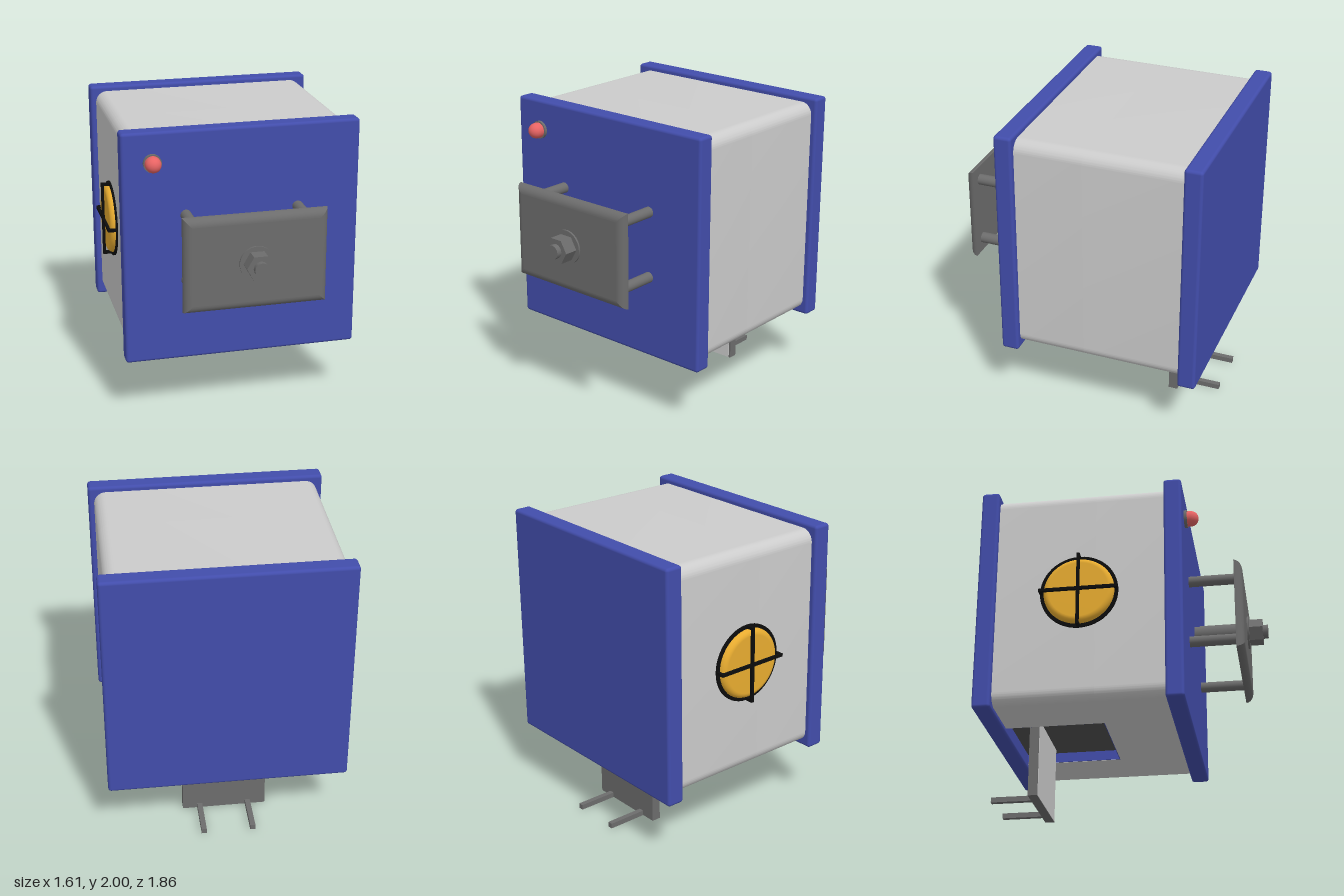
import * as THREE from 'three';
import { toCreasedNormals } from 'three/addons/utils/BufferGeometryUtils.js';
import { RoundedBoxGeometry } from 'three/addons/geometries/RoundedBoxGeometry.js';

const mat = (color) => new THREE.MeshStandardMaterial({ color });
const CX = 0.015; // axis of the housing
const CY = 1.21;

export function createModel() {
  const model = new THREE.Group();
  const grey = mat(0xcccccc), blue = mat(0x424dab), dark = mat(0x6c6c6c);
  const black = mat(0x0c0c0c), yellow = mat(0xe8ac30), red = mat(0xe86464);

  const add = (name, geometry, material, x = 0, y = 0, z = 0, parent = model) => {
    const mesh = new THREE.Mesh(geometry, material);
    mesh.name = name;
    mesh.position.set(x, y, z);
    parent.add(mesh);
    return mesh;
  };
  // Box given by its limits
  const block = (name, material, x0, x1, y0, y1, z0, z1) =>
    add(name, new THREE.BoxGeometry(x1 - x0, y1 - y0, z1 - z0), material,
      (x0 + x1) / 2, (y0 + y1) / 2, (z0 + z1) / 2);
  // Cylinder along z between two depths
  const rod = (name, material, r, x, y, z0, z1, sides = 32) =>
    add(name, new THREE.CylinderGeometry(r, r, z1 - z0, sides).rotateX(Math.PI / 2),
      material, x, y, (z0 + z1) / 2);

  // Housing: rounded section, the rear part notched for the bottom recess
  const section = (notched) => {
    const s = new THREE.Shape(), l = -0.737, r = 0.767, b = 0.455, t = 1.965, c = 0.08;
    s.moveTo(l + c, b);
    if (notched) {
      s.lineTo(-0.32, b); s.lineTo(-0.32, 0.53);
      s.lineTo(0.35, 0.53); s.lineTo(0.35, b);
    }
    s.lineTo(r - c, b); s.absarc(r - c, b + c, c, -Math.PI / 2, 0);
    s.lineTo(r, t - c); s.absarc(r - c, t - c, c, 0, Math.PI / 2);
    s.lineTo(l + c, t); s.absarc(l + c, t - c, c, Math.PI / 2, Math.PI);
    s.lineTo(l, b + c); s.absarc(l + c, b + c, c, Math.PI, Math.PI * 1.5);
    return s;
  };
  const housing = (name, notched, z0, z1) => add(name, toCreasedNormals(
    new THREE.ExtrudeGeometry(section(notched), { depth: z1 - z0, bevelEnabled: false, curveSegments: 10 }), 0.6),
    grey, 0, 0, z0);
  housing('frontHousing', false, -0.15, 0.31);
  housing('rearHousing', true, -0.815, -0.15);

  // Recess lining
  block('recessCeiling', mat(0x505050), -0.32, 0.35, 0.525, 0.535, -0.815, -0.15);
  block('recessFrontWall', blue, -0.32, 0.35, 0.457, 0.53, -0.155, -0.145);
  for (const x of [-0.32, 0.35])
    block('recessSideWall', blue, x - 0.005, x + 0.005, 0.457, 0.53, -0.815, -0.15);

  // End panels
  for (const [name, z] of [['frontPanel', 0.365], ['backPanel', -0.87]])
    add(name, new RoundedBoxGeometry(1.58, 1.58, 0.12, 3, 0.02), blue, CX, CY, z);

  // Signal lamp
  rod('lampBase', dark, 0.06, -0.575, 1.8, 0.42, 0.445);
  rod('lampNeck', red, 0.052, -0.575, 1.8, 0.44, 0.468);
  add('lampDome', new THREE.SphereGeometry(0.052, 32, 16, 0, Math.PI * 2, 0, Math.PI / 2)
    .rotateX(Math.PI / 2), red, -0.575, 1.8, 0.468);

  // Clamp plate with rounded front edges and mitred corners
  const R = 0.055;
  const plate = new THREE.BoxGeometry(0.945, 0.64, R, 1, 1, 10);
  const p = plate.attributes.position;
  for (let i = 0; i < p.count; i++) {
    const a = ((p.getZ(i) + R / 2) / R) * Math.PI / 2;
    const inset = R * (1 - Math.cos(a));
    p.setXYZ(i, p.getX(i) - Math.sign(p.getX(i)) * inset,
      p.getY(i) - Math.sign(p.getY(i)) * inset, R * Math.sin(a));
  }
  plate.computeVertexNormals();
  add('clampPlate', plate, dark, 0.0175, CY, 0.735);

  // Guide posts, centre shaft, washer and nut
  for (const sx of [-1, 1]) for (const sy of [-1, 1])
    rod('guidePost', dark, 0.036, CX + sx * 0.375, CY + sy * 0.225, 0.42, 0.74);
  rod('centreShaft', dark, 0.064, CX, CY, 0.42, 0.74);
  rod('washer', dark, 0.113, CX, CY, 0.785, 0.803, 48);
  const nut = rod('nut', dark, 0.09, CX, CY, 0.80, 0.895, 6);
  nut.geometry = toCreasedNormals(nut.geometry.rotateZ(Math.PI / 6), 0.4);
  nut.geometry.computeBoundingBox();
  if (nut.geometry.boundingBox.max.x < 0.085) nut.geometry.rotateZ(Math.PI / 6);
  rod('boltTip', dark, 0.048, CX, CY, 0.89, 0.93, 12);

  // Side lens: axis turned to -x
  const lens = new THREE.Group();
  lens.name = 'sideLens';
  lens.position.set(-0.737, CY, -0.255);
  lens.rotation.z = Math.PI / 2;
  model.add(lens);
  const profile = [new THREE.Vector2(0.235, -0.01)];
  for (let i = 0; i <= 6; i++) {
    const a = (i / 6) * Math.PI / 2;
    profile.push(new THREE.Vector2(0.195 + 0.04 * Math.cos(a), 0.006 + 0.04 * Math.sin(a)));
  }
  profile.push(new THREE.Vector2(0, 0.046));
  add('lensDisc', new THREE.LatheGeometry(profile, 48), yellow, 0, 0, 0, lens);
  const ring = new THREE.Shape().absarc(0, 0, 0.258, 0, Math.PI * 2);
  ring.holes.push(new THREE.Path().absarc(0, 0, 0.232, 0, Math.PI * 2, true));
  add('lensRing', new THREE.ExtrudeGeometry(ring, { depth: 0.012, bevelEnabled: false, curveSegments: 24 })
    .rotateX(-Math.PI / 2), black, 0, 0, 0, lens);

  // Guard: two crossed staples over the lens
  for (const turn of [0, Math.PI / 2]) {
    const staple = new THREE.Group();
    staple.name = 'guardStaple';
    staple.rotation.y = turn;
    lens.add(staple);
    add('guardBar', new THREE.BoxGeometry(0.516, 0.018, 0.02), black, 0, 0.059, 0, staple);
    for (const s of [-1, 1])
      add('guardLeg', new THREE.BoxGeometry(0.02, 0.068, 0.02), black, s * 0.248, 0.034, 0, staple);
  }

  // Mounting bracket with two rear prongs
  block('bracketPlate', dark, -0.27, 0.295, 0, 0.53, -0.66, -0.598);
  block('bracketFace', grey, -0.257, 0.282, 0.001, 0.53, -0.61, -0.595);
  for (const x of [-0.15, 0.18])
    block('bracketProng', dark, x - 0.0175, x + 0.0175, 0, 0.035, -0.93, -0.655);

  return model;
}
